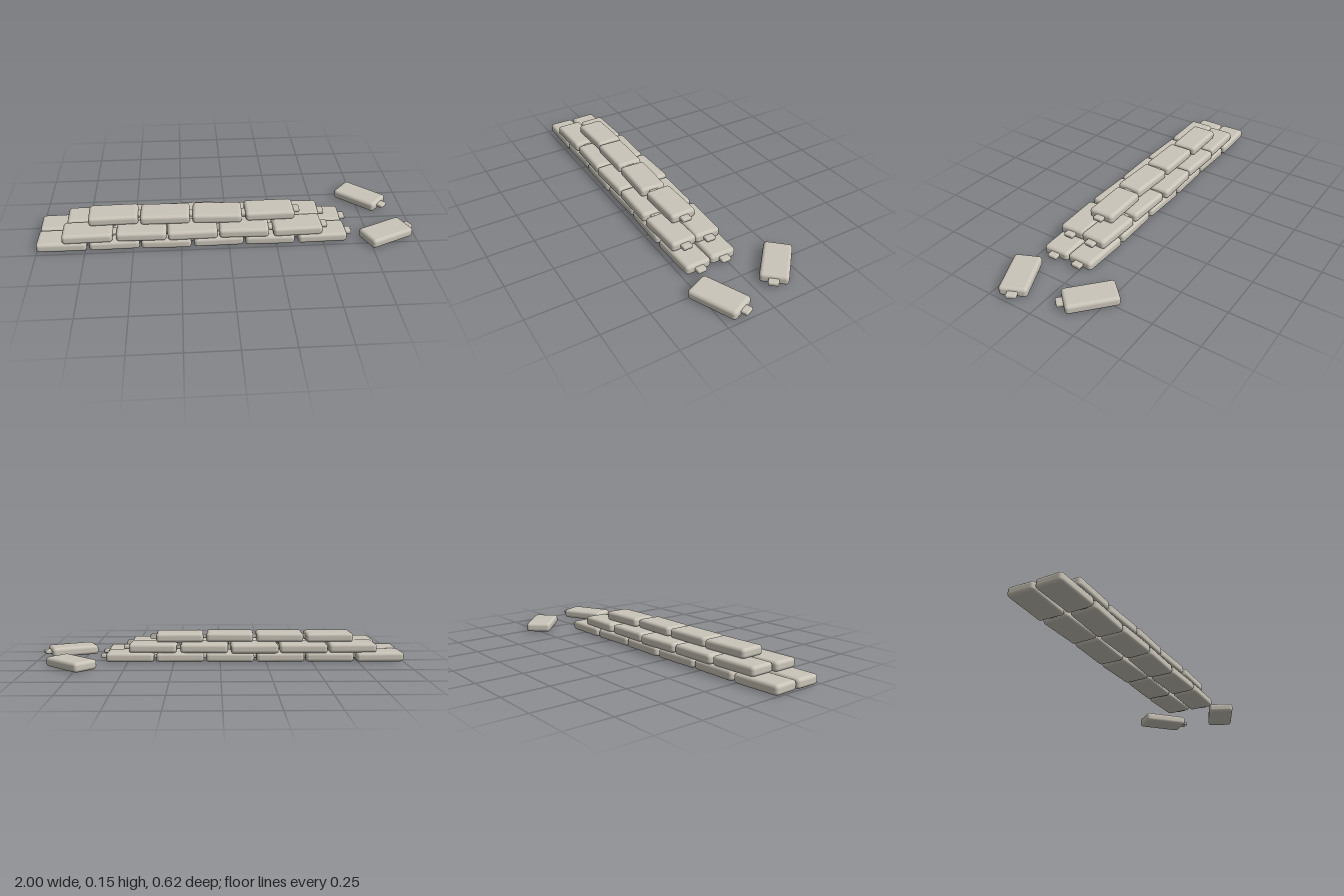
import * as THREE from 'three';
import { RoundedBoxGeometry } from 'three/addons/geometries/RoundedBoxGeometry.js';

const LENGTH = 0.26, WIDTH = 0.142, HEIGHT = 0.052, PITCH_Y = 0.048;

// Each bag: [x, z, yaw]
const layers = {
  bottomBackRow: [0, [-0.87, 0.01, 0.03], [-0.598, 0.012, -0.02], [-0.327, 0.01, 0.02], [-0.055, 0.009, -0.03], [0.217, 0.012, 0.02], [0.488, 0.011, -0.025]],
  bottomFrontRow: [0, [-0.87, 0.162, -0.01], [-0.598, 0.16, 0.02], [-0.327, 0.163, -0.02], [-0.055, 0.16, 0.02], [0.217, 0.162, -0.02], [0.494, 0.161, 0.02]],
  middleBackRow: [1, [-0.722, 0.017, 0.02], [-0.455, 0.008, -0.02], [-0.187, 0.002, 0.025], [0.085, 0.015, -0.03], [0.364, 0.02, -0.035]],
  middleFrontRow: [1, [-0.735, 0.163, 0.015], [-0.455, 0.16, -0.02], [-0.19, 0.163, 0.02], [0.08, 0.161, -0.02], [0.361, 0.161, 0.03]],
  topRow: [2, [-0.603, 0.076, 0.025], [-0.331, 0.083, -0.01], [-0.056, 0.088, -0.04], [0.222, 0.078, 0.015]],
  fallenBags: [0, [0.84, 0.193, 0.42], [0.78, -0.18, -0.74]],
};

export function createModel() {
  const root = new THREE.Group();
  root.name = 'sandbagWall';
  const canvas = new THREE.MeshStandardMaterial({ color: 0xc9c4b8 });
  canvas.name = 'pale canvas';

  const bagGeometry = new RoundedBoxGeometry(LENGTH, HEIGHT, WIDTH, 4, 0.018);
  const tieGeometry = new RoundedBoxGeometry(0.05, 0.021, 0.052, 3, 0.007);

  // One sandbag: stuffed body with a tied end on +x
  function sandbag(x, y, z, yaw) {
    const bag = new THREE.Group();
    bag.name = 'sandbag';
    const body = new THREE.Mesh(bagGeometry, canvas);
    body.name = 'bagBody';
    const tie = new THREE.Mesh(tieGeometry, canvas);
    tie.name = 'tiedEnd';
    tie.position.x = LENGTH / 2 + 0.008;
    bag.add(body, tie);
    bag.position.set(x, y, z);
    bag.rotation.y = yaw;
    return bag;
  }

  // Stacked rows and the two loose bags
  for (const [name, [level, ...bags]] of Object.entries(layers)) {
    const row = new THREE.Group();
    row.name = name;
    for (const [x, z, yaw] of bags) {
      row.add(sandbag(x, HEIGHT / 2 + level * PITCH_Y, z, yaw));
    }
    root.add(row);
  }
  return root;
}
